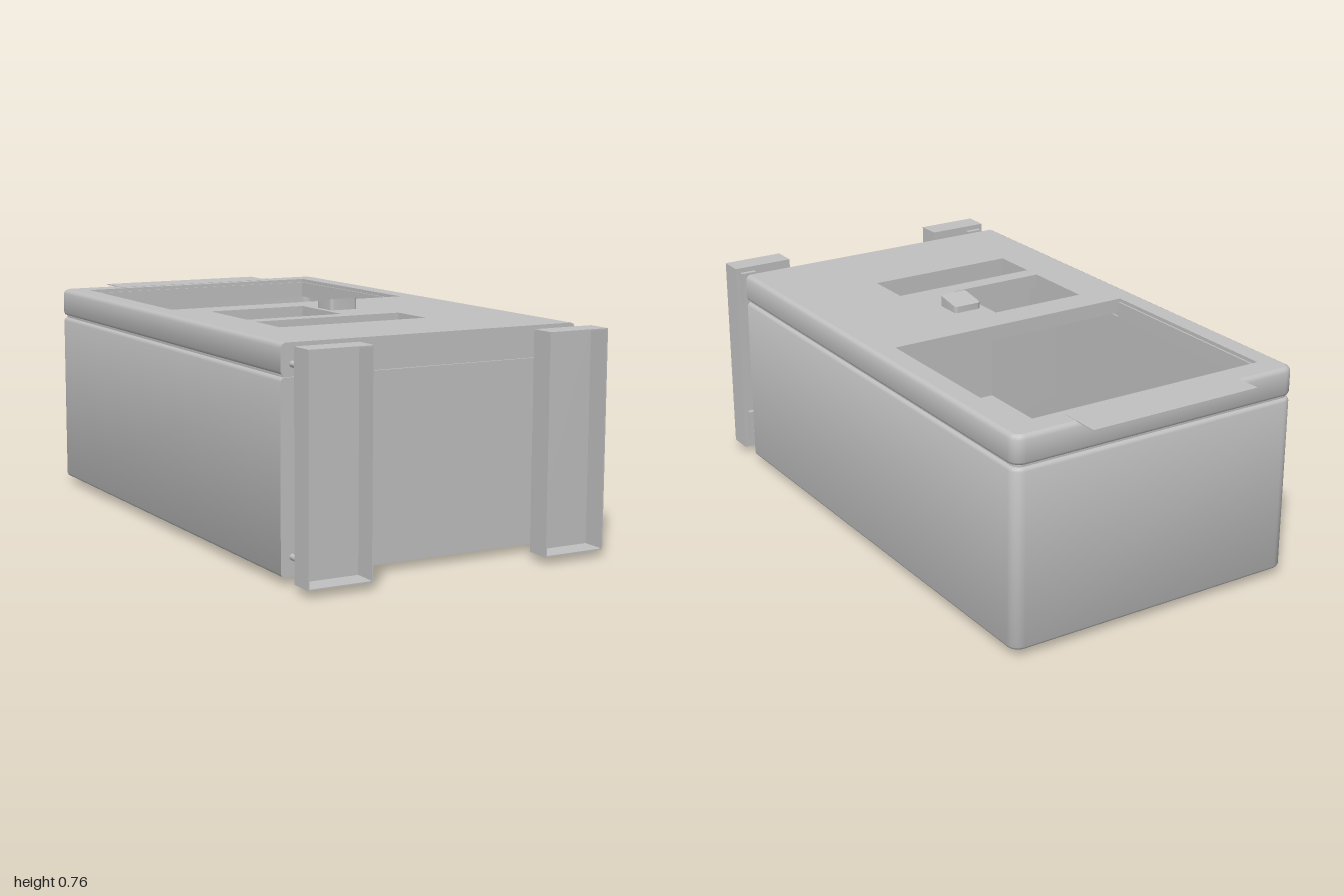
import * as THREE from 'three';
import { toCreasedNormals } from 'three/addons/utils/BufferGeometryUtils.js';

const grey = new THREE.MeshStandardMaterial({ color: 0xc0c0c0, side: THREE.DoubleSide });
grey.name = 'grey';

const HALF = 0.527, BACK = -0.925, FRONT = 0.83, RADIUS = 0.04;

// Case outline seen from above: square front corners, rounded back corners.
function outline(inset, frontInset = 0) {
  const x = HALF - inset, z = BACK + inset, f = FRONT - frontInset;
  const r = Math.max(RADIUS - inset, 0.006);
  const pts = [[x, f]];
  for (let i = 0; i <= 6; i++) {
    const a = (i / 6) * Math.PI / 2;
    pts.push([x - r + r * Math.cos(a), z + r - r * Math.sin(a)]);
  }
  for (let i = 6; i >= 0; i--) {
    const a = (i / 6) * Math.PI / 2;
    pts.push([-x + r - r * Math.cos(a), z + r - r * Math.sin(a)]);
  }
  pts.push([-x, f]);
  return pts;
}

// Joins outlines at levels [inset, y, frontInset] into one skin.
function loft(levels, caps) {
  const pos = [], idx = [];
  levels.forEach(([inset, y, f]) => outline(inset, f).forEach(([x, z]) => pos.push(x, y, z)));
  const n = outline(0).length, last = (levels.length - 1) * n;
  for (let j = 0; j < levels.length - 1; j++) {
    for (let k = 0; k < n; k++) {
      const a = j * n + k, b = j * n + (k + 1) % n;
      idx.push(a, b, b + n, a, b + n, a + n);
    }
  }
  if (caps) {
    for (let k = 1; k < n - 1; k++) idx.push(0, k + 1, k, last, last + k, last + k + 1);
  }
  const g = new THREE.BufferGeometry();
  g.setAttribute('position', new THREE.Float32BufferAttribute(pos, 3));
  g.setIndex(idx);
  return toCreasedNormals(g, 0.8);
}

function rectPath(x0, x1, z0, z1) {
  return new THREE.Path([[x0, -z0], [x1, -z0], [x1, -z1], [x0, -z1]].map(p => new THREE.Vector2(...p)));
}

function add(parent, name, geometry) {
  const m = new THREE.Mesh(geometry, grey);
  m.name = name;
  parent.add(m);
  return m;
}

// Box given by its limits on each axis.
function box(parent, name, x0, x1, y0, y1, z0, z1) {
  const m = add(parent, name, new THREE.BoxGeometry(x1 - x0, y1 - y0, z1 - z0));
  m.position.set((x0 + x1) / 2, (y0 + y1) / 2, (z0 + z1) / 2);
  return m;
}

export function createModel() {
  const model = new THREE.Group();
  model.name = 'enclosure';

  // Hollow lower case
  add(model, 'caseBody', loft([
    [0.012, 0.025], [0.004, 0.028], [0, 0.036], [0, 0.612], [0.004, 0.62], [0.012, 0.624],
    [0.02, 0.624, 0.02], [0.02, 0.045, 0.02],
  ], true));

  // Gasket in the seam
  add(model, 'gasket', loft([[0.018, 0.6, 0.018], [0.012, 0.6, 0.008], [0.012, 0.65, 0.008], [0.018, 0.65, 0.018]]));

  // Lid rim with rounded edges, and the top panel with three openings
  add(model, 'lidRim', loft([
    [0.02, 0.68, 0.02], [0.02, 0.632, 0.02], [0.012, 0.632], [0.004, 0.635], [0, 0.643],
    [0, 0.712], [0.005, 0.722], [0.015, 0.727],
  ]));
  const top = new THREE.Shape(outline(0.015, 0).map(([x, z]) => new THREE.Vector2(x, -z)));
  top.holes.push(
    rectPath(-0.45, 0.445, -0.83, -0.1),
    rectPath(-0.355, -0.01, 0.01, 0.275),
    rectPath(-0.355, 0.175, 0.335, 0.5),
  );
  const topGeo = new THREE.ExtrudeGeometry(top, { depth: 0.05, bevelEnabled: false });
  topGeo.rotateX(-Math.PI / 2);
  add(model, 'lidPanel', topGeo).position.y = 0.677;

  // Thin lip around the large opening
  for (const s of [-1, 1]) {
    const x = s < 0 ? -0.45 : 0.439;
    box(model, 'windowLip', x, x + 0.006, 0.66, 0.715, -0.83, -0.1);
  }
  box(model, 'windowLip', -0.45, 0.445, 0.66, 0.715, -0.83, -0.824);

  // Slot pocket with a sloping chute
  box(model, 'slotBackWall', -0.36, 0.18, 0.5, 0.68, 0.331, 0.335);
  box(model, 'slotFrontWall', -0.36, 0.18, 0.5, 0.68, 0.5, 0.504);
  box(model, 'slotEndWall', -0.359, -0.355, 0.5, 0.68, 0.331, 0.504);
  box(model, 'slotEndWall', 0.175, 0.179, 0.5, 0.68, 0.331, 0.504);
  const chute = add(model, 'slotChute', new THREE.BoxGeometry(0.53, 0.005, 0.175));
  chute.position.set(-0.09, 0.573, 0.395);
  chute.rotation.x = -Math.atan2(0.13, 0.12);

  // Wedge button with rounded corners, sloping down toward the back
  const key = new THREE.Shape();
  const w = 0.05, r = 0.012;
  key.moveTo(-w + r, -w);
  key.lineTo(w - r, -w).quadraticCurveTo(w, -w, w, -w + r);
  key.lineTo(w, w - r).quadraticCurveTo(w, w, w - r, w);
  key.lineTo(-w + r, w).quadraticCurveTo(-w, w, -w, w - r);
  key.lineTo(-w, -w + r).quadraticCurveTo(-w, -w, -w + r, -w);
  const keyGeo = new THREE.ExtrudeGeometry(key, { depth: 0.04, bevelEnabled: false, curveSegments: 4 });
  keyGeo.rotateX(-Math.PI / 2);
  const kp = keyGeo.attributes.position;
  for (let i = 0; i < kp.count; i++) {
    if (kp.getY(i) > 0.02) kp.setY(i, 0.03 + kp.getZ(i) * 0.16);
  }
  keyGeo.computeVertexNormals();
  add(model, 'button', toCreasedNormals(keyGeo, 0.6)).position.set(0.06, 0.727, 0.125);

  // Flat flap over the back edge
  box(model, 'backFlap', -0.308, 0.305, 0.725, 0.728, -1, -0.86);

  // Front channel rails, open toward the front, each on two mounting rods
  for (const s of [-1, 1]) {
    const rail = new THREE.Group();
    rail.name = s > 0 ? 'leftRail' : 'rightRail';
    const x0 = s > 0 ? 0.31 : -HALF, x1 = s > 0 ? HALF : -0.31, t = 0.004;
    box(rail, 'railBack', x0, x1, 0.025, 0.727, 0.915, 0.919);
    box(rail, 'railSide', x0, x0 + t, 0.025, 0.727, 0.915, 1);
    box(rail, 'railSide', x1 - t, x1, 0.025, 0.727, 0.915, 1);
    box(rail, 'railBottom', x0, x1, 0.025, 0.025 + t, 0.915, 1);
    box(rail, 'railTop', x0, x1, 0.727 - t, 0.727, 0.915, 1);
    for (const [y, y0, y1] of [[0.663, 0.59, 0.71], [0.085, 0.055, 0.168]]) {
      const c = s * 0.482;
      box(rail, 'mountPlate', c - 0.028, c + 0.028, y0, y1, 0.898, 0.915);
      const rod = add(rail, 'mountRod', new THREE.CylinderGeometry(0.01, 0.01, 0.09, 16));
      rod.rotation.x = Math.PI / 2;
      rod.position.set(s * 0.488, y, 0.865);
    }
    model.add(rail);
  }

  // Access panels on the underside
  box(model, 'bottomDoor', -0.33, 0.48, 0.022, 0.026, 0.555, 0.81);
  box(model, 'bottomHatch', 0.3, 0.43, 0.022, 0.026, 0.44, 0.535);

  // Small latch with a pull ring under the front edge
  const latch = add(model, 'latch', new THREE.SphereGeometry(0.03, 16, 10));
  latch.scale.set(1, 0.5, 0.9);
  latch.position.set(-0.37, 0.02, 0.785);
  const ring = add(model, 'latchRing', new THREE.TorusGeometry(0.026, 0.007, 8, 20));
  ring.rotation.x = Math.PI / 2 - 0.2;
  ring.position.set(-0.365, 0.013, 0.813);

  return model;
}
